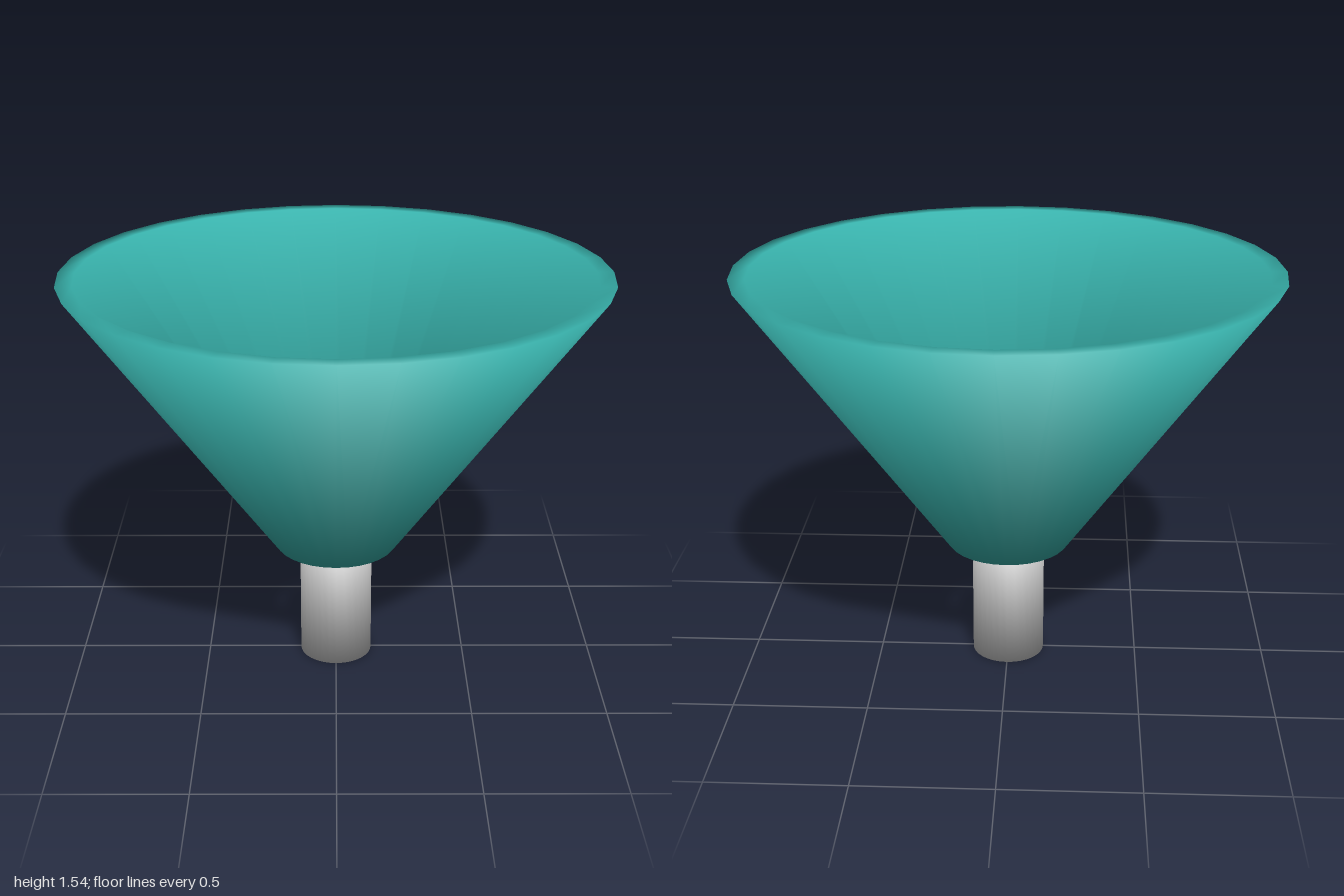
import * as THREE from 'three';

// Revolve a closed profile (counter-clockwise [radius, y] corners) into a ring,
// with the normals at each corner softened to the bisector of its two sides.
function softRing(corners, material, name) {
  const n = corners.length;
  const points = [...corners, corners[0]].map(([r, y]) => new THREE.Vector2(r, y));
  const sides = corners.map((_, i) => {
    const d = points[i + 1].clone().sub(points[i]).normalize();
    return new THREE.Vector2(d.y, -d.x);
  });
  const soft = sides.map((s, i) => s.clone().add(sides[(i + n - 1) % n]).normalize());

  const segments = 32;
  const geometry = new THREE.LatheGeometry(points, segments);
  const normals = geometry.attributes.normal;
  for (let i = 0; i <= segments; i++) {
    const a = (i / segments) * Math.PI * 2;
    for (let j = 0; j <= n; j++) {
      const s = soft[j % n];
      normals.setXYZ(i * (n + 1) + j, s.x * Math.sin(a), s.y, s.x * Math.cos(a));
    }
  }
  const mesh = new THREE.Mesh(geometry, material);
  mesh.name = name;
  return mesh;
}

export function createModel() {
  const group = new THREE.Group();
  group.name = 'funnel';
  const teal = new THREE.MeshStandardMaterial({ color: 0x38b2ac, side: THREE.DoubleSide });
  const grey = new THREE.MeshStandardMaterial({ color: 0xcccccc, side: THREE.DoubleSide });

  const neckY = 0.465;
  const rimY = 1.54;

  // Thick-walled cone, open at the neck
  group.add(softRing([[0.15, neckY], [0.23, neckY], [1, rimY], [0.94, rimY]], teal, 'cone'));

  // Hollow spout below the neck, slightly narrower than its opening
  group.add(softRing([[0.05, 0], [0.138, 0], [0.138, neckY], [0.05, neckY]], grey, 'spout'));

  return group;
}
